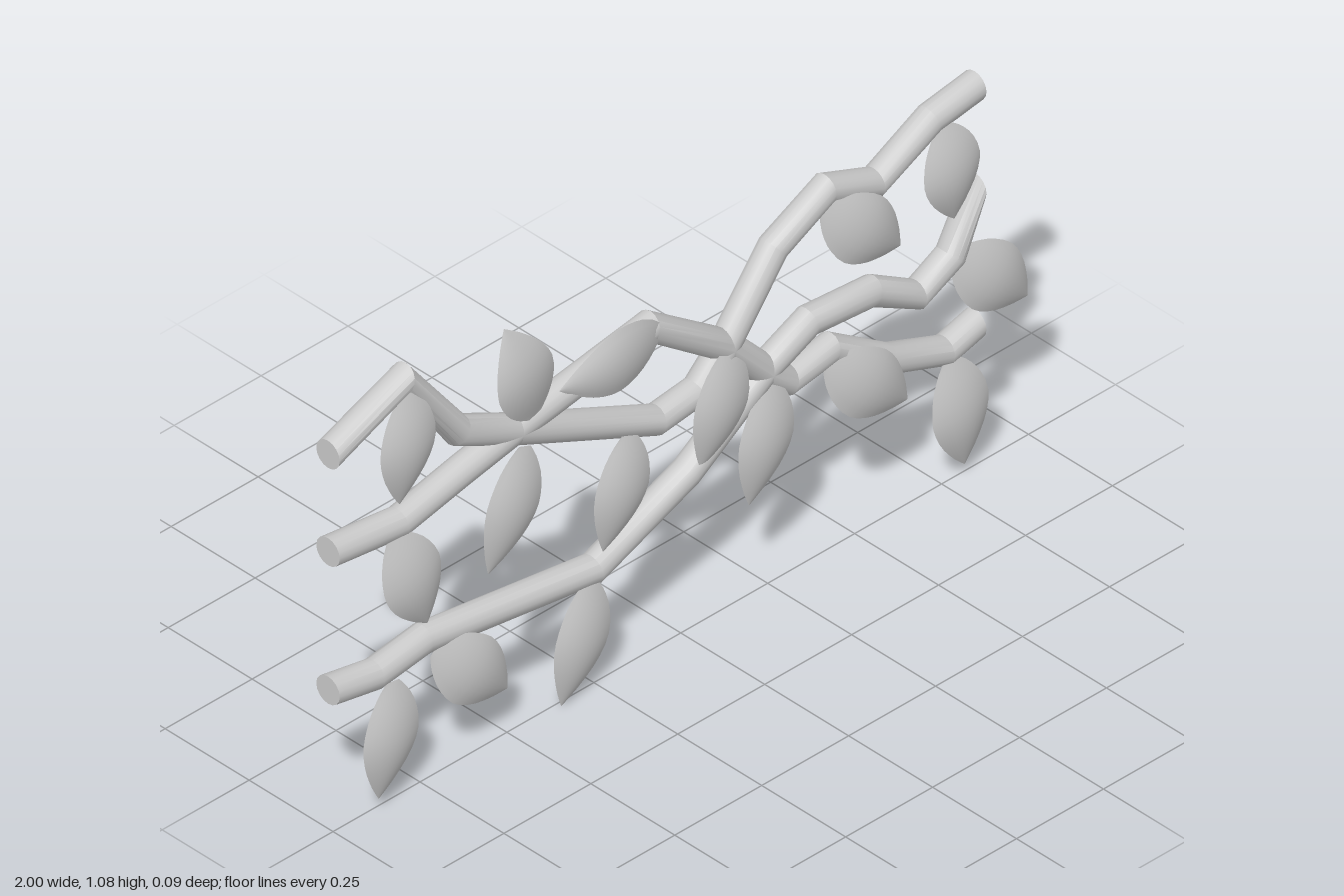
import * as THREE from 'three';
import { toCreasedNormals } from 'three/addons/utils/BufferGeometryUtils.js';

const R = 0.035, SIDES = 16, BRANCH_Z = -0.015;

// Branch centre lines, x and y
const branches = {
  upperBranch: [[-1, 0.96], [-0.785, 1.047], [-0.63, 0.835], [-0.47, 0.755], [-0.06, 0.57], [0.06, 0.585],
    [0.14, 0.66], [0.28, 0.84], [0.43, 0.915], [0.57, 0.86], [0.73, 0.94], [0.86, 0.96]],
  middleBranch: [[-1, 0.71], [-0.8, 0.685], [-0.62, 0.725], [-0.47, 0.755], [-0.08, 0.82], [0.14, 0.66],
    [0.25, 0.54], [0.32, 0.48], [0.44, 0.5], [0.6, 0.39], [0.77, 0.325], [0.86, 0.35]],
  lowerBranch: [[-1, 0.355], [-0.87, 0.33], [-0.73, 0.35], [-0.24, 0.28], [0.03, 0.39], [0.25, 0.54],
    [0.38, 0.6], [0.56, 0.585], [0.69, 0.51], [0.79, 0.56], [0.86, 0.7]],
};

// Leaves: base x, base y, tip x, tip y, optional depth shift
const leaves = [
  [-0.8, 1.03, -0.82, 0.755], [-0.43, 0.785, -0.52, 1.05], [-0.07, 0.82, -0.36, 0.81],
  [-0.84, 0.68, -0.74, 0.41], [-0.46, 0.72, -0.565, 0.445], [-0.16, 0.6, -0.235, 0.335],
  [0.13, 0.67, 0.045, 0.405], [0.25, 0.525, 0.185, 0.24], [0.4, 0.885, 0.62, 0.685],
  [0.74, 0.93, 0.775, 0.675], [0.79, 0.565, 1, 0.355, -0.015], [0.41, 0.485, 0.64, 0.28],
  [0.76, 0.32, 0.805, 0.03], [-0.84, 0.31, -0.88, 0.03], [-0.72, 0.33, -0.51, 0.125],
  [-0.27, 0.28, -0.355, 0],
];

// Round rod with a ring at every bend and flat vertical ends
function branchGeometry(path) {
  const pos = [], idx = [], n = path.length;
  const pts = path.map(([x, y]) => new THREE.Vector2(x, y));
  pts.forEach((p, i) => {
    const t = new THREE.Vector2(1, 0);
    if (i > 0 && i < n - 1) {
      const a = p.clone().sub(pts[i - 1]).normalize();
      t.copy(pts[i + 1]).sub(p).normalize().add(a).normalize();
    }
    for (let k = 0; k < SIDES; k++) {
      const a = (k / SIDES) * Math.PI * 2, c = R * Math.cos(a);
      pos.push(p.x - t.y * c, p.y + t.x * c, BRANCH_Z + R * Math.sin(a));
    }
  });
  for (let i = 0; i < n - 1; i++) {
    for (let k = 0; k < SIDES; k++) {
      const a = i * SIDES + k, b = i * SIDES + (k + 1) % SIDES;
      idx.push(a, b, a + SIDES, b, b + SIDES, a + SIDES);
    }
  }
  // End caps
  const last = (n - 1) * SIDES;
  for (let k = 1; k < SIDES - 1; k++) {
    idx.push(0, k + 1, k, last, last + k, last + k + 1);
  }
  const g = new THREE.BufferGeometry();
  g.setAttribute('position', new THREE.Float32BufferAttribute(pos, 3));
  g.setIndex(idx);
  return toCreasedNormals(g, 0.45);
}

// Half width of a leaf from base to tip
const outline = new THREE.SplineCurve([[0, 0.018], [0.1, 0.045], [0.25, 0.069], [0.45, 0.08],
  [0.65, 0.066], [0.85, 0.034], [1, 0.001]].map(([t, w]) => new THREE.Vector2(t, w)));

// Thin domed blade growing along +y, one unit long
function leafGeometry() {
  const g = new THREE.PlaneGeometry(2, 1, 8, 14), p = g.attributes.position;
  for (let i = 0; i < p.count; i++) {
    const u = p.getX(i), s = outline.getPoint(p.getY(i) + 0.5);
    const dome = Math.sin(Math.PI * s.x);
    p.setXYZ(i, u * s.y, s.x, 0.012 + 0.032 * dome - 0.018 * u * u * dome);
  }
  g.computeVertexNormals();
  return g;
}

export function createModel() {
  const group = new THREE.Group();
  const bark = new THREE.MeshStandardMaterial({ color: 0xcccccc });
  const blade = new THREE.MeshStandardMaterial({ color: 0xcccccc, side: THREE.DoubleSide });

  for (const [name, path] of Object.entries(branches)) {
    const mesh = new THREE.Mesh(branchGeometry(path), bark);
    mesh.name = name;
    group.add(mesh);
  }

  const leafShape = leafGeometry();
  leaves.forEach(([bx, by, tx, ty, dz = 0], i) => {
    const leaf = new THREE.Mesh(leafShape, blade);
    leaf.name = `leaf${i + 1}`;
    leaf.position.set(bx, by, dz);
    leaf.rotation.z = Math.atan2(ty - by, tx - bx) - Math.PI / 2;
    leaf.scale.y = Math.hypot(tx - bx, ty - by);
    group.add(leaf);
  });
  return group;
}
